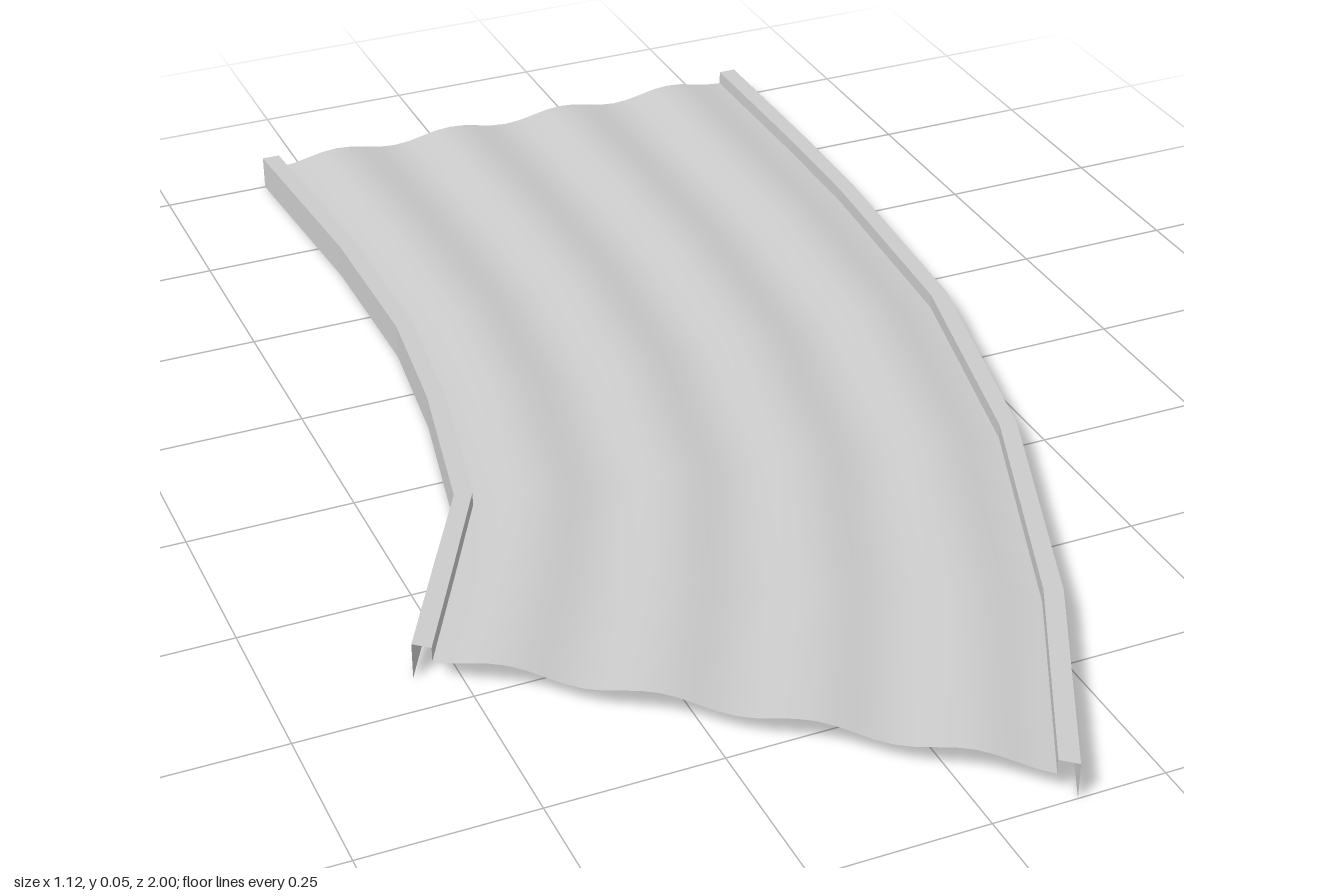
import * as THREE from 'three';

// Paired plan points of the bend, [x, z] on the outer faces of both kerbs
const right = [[-0.33, -1], [-0.307, -0.645], [-0.307, -0.365], [-0.333, -0.15], [-0.387, 0.117], [-0.472, 0.27], [-0.56, 0.43]];
const left = [[0.56, -1], [0.56, -0.7], [0.556, -0.5], [0.529, -0.12], [0.44, 0.267], [0.29, 0.665], [0.122, 1]];

const KERB = 0.032; // kerb width as a share of the track width
const TOP = 0.055;
const WAVES = 4;
const roadHeight = (u) => 0.0405 - 0.0075 * Math.cos(u * WAVES * Math.PI * 2);

// Sweep a cross-section of [share across, height] points along the bend
function sweep(name, profile, smooth) {
  const n = profile.length;
  const positions = [];
  const index = [];
  right.forEach(([rx, rz], i) => {
    const [lx, lz] = left[i];
    profile.forEach(([t, y], j) => {
      positions.push(rx + (lx - rx) * t, y, rz + (lz - rz) * t);
      if (i < right.length - 1 && j < n - 1) {
        const a = i * n + j;
        index.push(a, a + n, a + 1, a + 1, a + n, a + n + 1);
      }
    });
  });
  let geometry = new THREE.BufferGeometry();
  geometry.setAttribute('position', new THREE.Float32BufferAttribute(positions, 3));
  geometry.setIndex(index);
  if (!smooth) geometry = geometry.toNonIndexed();
  geometry.computeVertexNormals();
  const material = new THREE.MeshStandardMaterial({ color: 0xcccccc, side: THREE.DoubleSide, flatShading: !smooth });
  const mesh = new THREE.Mesh(geometry, material);
  mesh.name = name;
  return mesh;
}

export function createModel() {
  const group = new THREE.Group();
  group.name = 'curvedTrack';

  // Rippled road sheet between the kerbs
  const road = [];
  const steps = 32;
  for (let k = 0; k <= steps; k++) {
    const u = k / steps;
    road.push([KERB + (1 - 2 * KERB) * u, roadHeight(u)]);
  }
  group.add(sweep('road', road, true));

  // Folded kerbs: outer wall, flat top and short inner wall
  const kerb = [[0, 0], [0, TOP], [KERB, TOP], [KERB, roadHeight(0)]];
  group.add(sweep('rightKerb', kerb, false));
  group.add(sweep('leftKerb', kerb.map(([t, y]) => [1 - t, y]).reverse(), false));

  return group;
}
